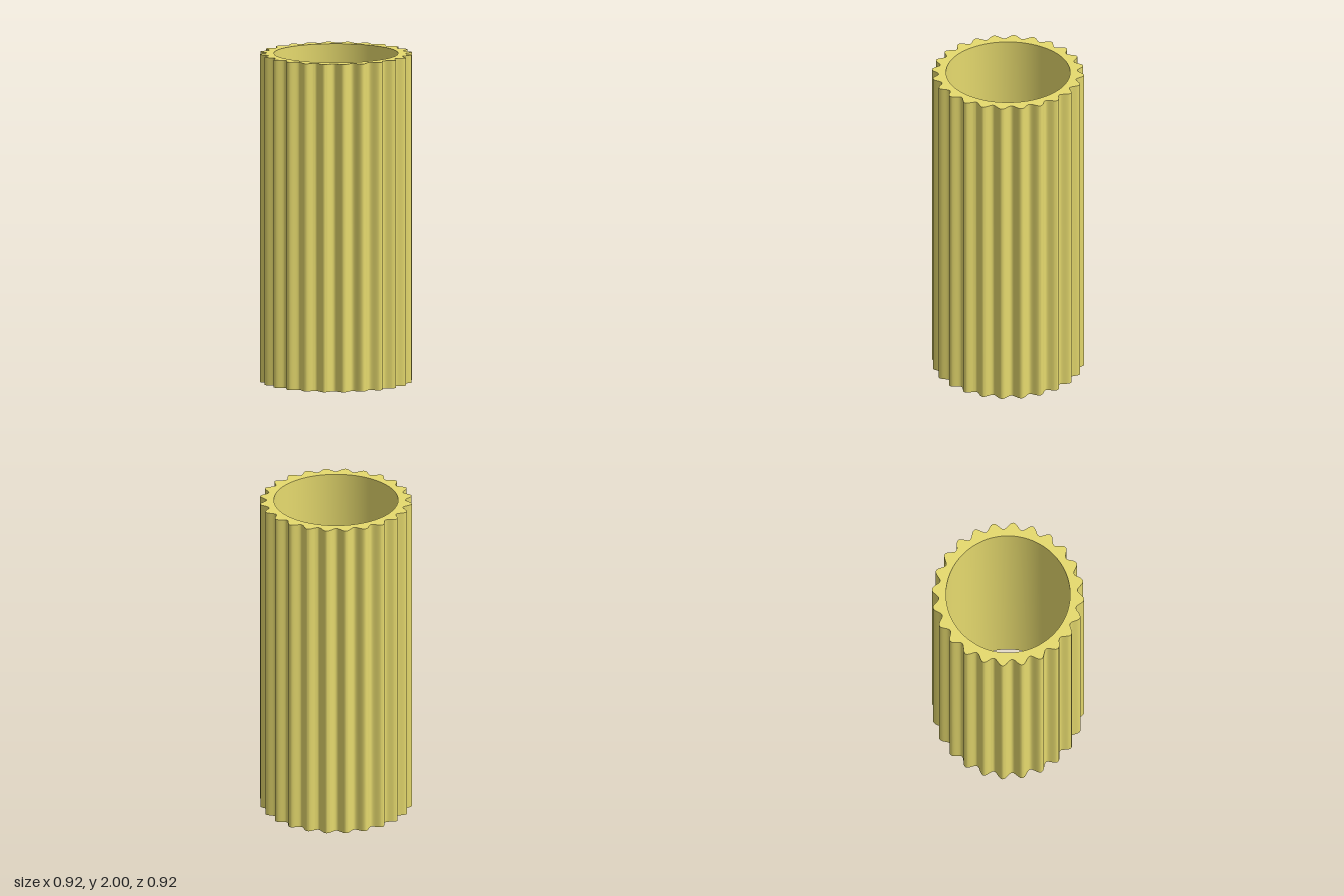
import * as THREE from 'three';
import { toCreasedNormals } from 'three/addons/utils/BufferGeometryUtils.js';

const TEETH = 24, STEPS = 16;      // steps per tooth
const MEAN = 0.44, WAVE = 0.021;   // outer radius and ripple depth
const BORE = 0.375, HEIGHT = 2, TWIST = 0.02;

export function createModel() {
  const group = new THREE.Group();
  group.name = 'flutedSleeve';

  // Wavy outer outline with rounded teeth and valleys
  const outline = [];
  const count = TEETH * STEPS;
  for (let i = 0; i < count; i++) {
    const a = (i / count) * Math.PI * 2;
    const r = MEAN + WAVE * Math.cos(TEETH * a);
    outline.push(new THREE.Vector2(r * Math.cos(a - TWIST), r * Math.sin(a - TWIST)));
  }
  const section = new THREE.Shape(outline);

  // Round bore
  const bore = new THREE.Path();
  bore.absarc(0, 0, BORE, 0, Math.PI * 2, true);
  section.holes.push(bore);

  // Straight open tube, standing upright
  const geometry = new THREE.ExtrudeGeometry(section, {
    depth: HEIGHT, bevelEnabled: false, curveSegments: 64,
  });
  geometry.rotateX(-Math.PI / 2);

  const sleeve = new THREE.Mesh(
    toCreasedNormals(geometry, 0.7),
    new THREE.MeshStandardMaterial({ color: 0xe6da6e }),
  );
  sleeve.name = 'sleeve';
  group.add(sleeve);
  return group;
}
